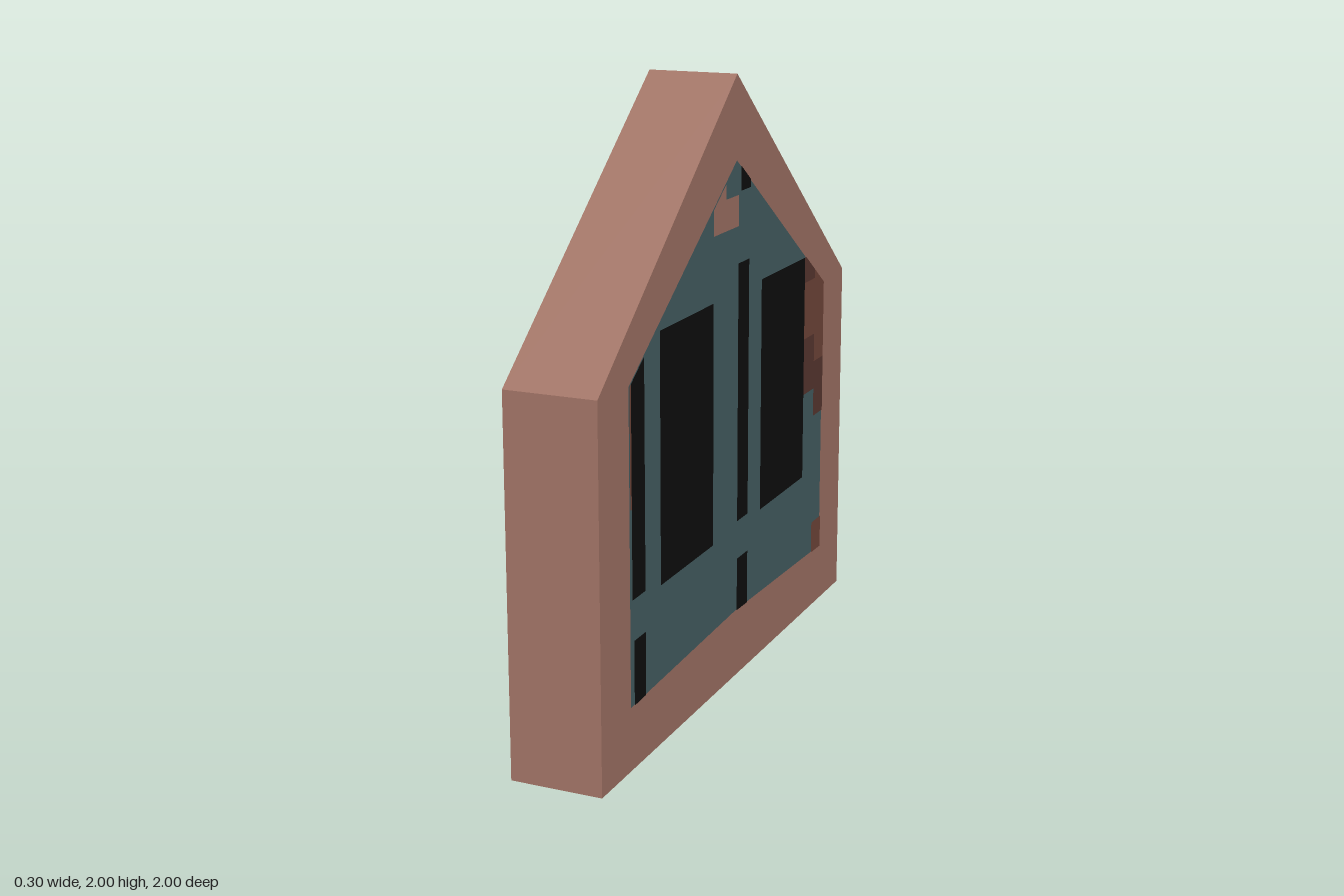
import * as THREE from 'three';

const mat = (name, color) => Object.assign(new THREE.MeshStandardMaterial({ color }), { name });

// Opening outline: gable edge above, slightly raised sill below
const gable = (s) => 1.73 - 0.675 * Math.abs(s);
const sill = (s) => 0.23 - 0.0325 * Math.abs(s);
const clamp = THREE.MathUtils.clamp;

function outline(points, Type) {
  return new Type(points.map(([x, y]) => new THREE.Vector2(x, y)));
}

// Thin painted patch, trimmed to the opening; s runs left to right across the face
function patch(s0, s1, y0, y1) {
  const a = clamp(s0, -0.8, 0.8), b = clamp(s1, -0.8, 0.8);
  if (b - a < 0.001) return null;
  const geo = new THREE.PlaneGeometry(1, 1, 16, 1);
  const pos = geo.attributes.position;
  for (let i = 0; i < pos.count; i++) {
    const s = a + (b - a) * (pos.getX(i) + 0.5);
    const top = Math.min(y1, gable(s));
    const bottom = Math.min(Math.max(y0, sill(s)), top);
    pos.setXYZ(i, s, pos.getY(i) > 0 ? top : bottom, 0);
  }
  return geo;
}

export function createModel() {
  const clay = mat('clay frame', 0xa07365);
  const teal = mat('slate teal', 0x455e62);
  const black = mat('black', 0x0e0e0e);
  const rust = mat('rust brown', 0x72463a);
  const umber = mat('dark umber', 0x593731);

  const model = new THREE.Group();
  model.name = 'gabledPanel';

  const add = (name, geo, material) => {
    const mesh = new THREE.Mesh(geo, material);
    mesh.name = name;
    model.add(mesh);
  };

  // Frame with house-shaped opening
  const hole = [[-0.8, sill(0.8)], [0, sill(0)], [0.8, sill(0.8)], [0.8, gable(0.8)], [0, gable(0)], [-0.8, gable(0.8)]];
  const house = outline([[-1, 0], [1, 0], [1, 1.2], [0, 2], [-1, 1.2]], THREE.Shape);
  house.holes.push(outline(hole, THREE.Path));
  const frame = new THREE.ExtrudeGeometry(house, { depth: 0.3, bevelEnabled: false });
  add('frame', frame.translate(0, 0, -0.15).rotateY(Math.PI / 2), clay);

  // Infill: flush on one side, recessed on the other
  const infill = new THREE.ExtrudeGeometry(outline(hole, THREE.Shape), { depth: 0.2, bevelEnabled: false });
  add('infill', infill.translate(0, 0, -0.05).rotateY(Math.PI / 2), teal);

  // Painted pattern: name, colour, [s0, s1, y0, y1]
  const pattern = [
    ['window', black, [-0.59, -0.19, 0.52, 1.31]],
    ['window', black, [0.21, 0.61, 0.52, 1.31]],
    ['sideSlot', black, [-0.79, -0.7, 0.54, 1.4]],
    ['sideSlotLower', black, [-0.78, -0.7, 0.2, 0.41]],
    ['middleSlot', black, [0.01, 0.1, 0.54, 1.4]],
    ['middleSlotLower', black, [0.01, 0.1, 0.2, 0.41]],
    ['middleSlotUpper', black, [0.03, 0.11, 1.63, 1.75]],
    ['clayPatch', clay, [-0.19, 0.01, 1.52, 1.62]],
    ['clayPatchTop', clay, [-0.19, -0.09, 1.62, 1.68]],
    ['wornTop', umber, [0.61, 0.71, 1.22, 1.31]],
    ['wornMiddle', rust, [0.61, 0.71, 1.02, 1.22]],
    ['wornMiddle', rust, [0.71, 0.8, 0.92, 1.3]],
    ['wornLower', umber, [0.61, 0.71, 0.82, 1.02]],
    ['wornLower', umber, [0.71, 0.8, 0.72, 0.92]],
    ['wornFoot', rust, [0.71, 0.8, 0.2, 0.32]],
    ['wornSide', rust, [-1.05, -0.79, 0.82, 1.35]],
  ];

  // Both faces share the pattern; the recessed face has it shifted sideways
  for (const { side, x, shift } of [{ side: 1, x: 0.153, shift: 0 }, { side: -1, x: 0.053, shift: 0.25 }]) {
    for (const [name, material, [s0, s1, y0, y1]] of pattern) {
      const geo = patch(s0 + shift, s1 + shift, y0, y1);
      if (!geo) continue;
      geo.translate(0, 0, x).rotateY(side * Math.PI / 2);
      add(name + (side > 0 ? 'Left' : 'Right'), geo, material);
    }
  }
  return model;
}
